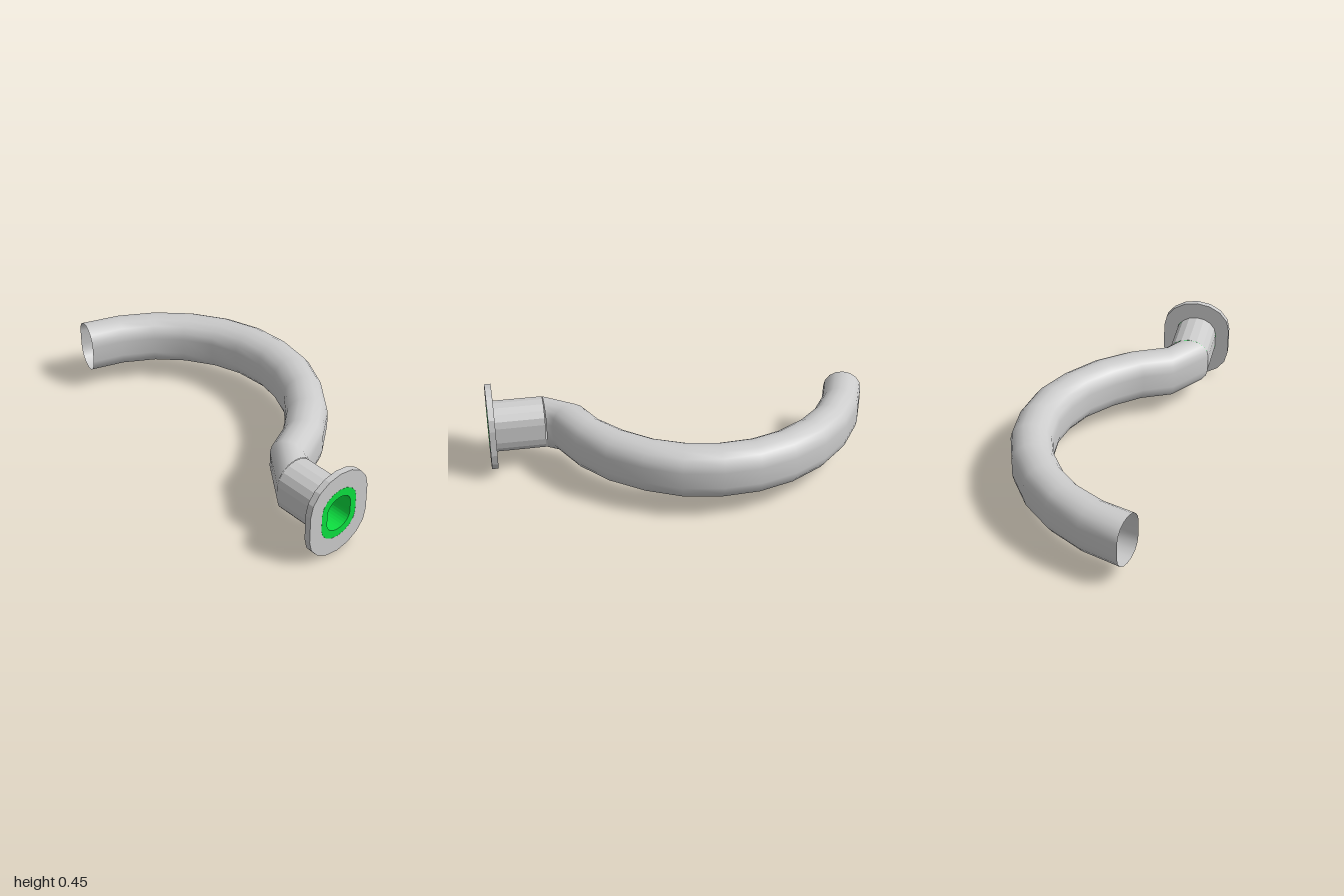
import * as THREE from 'three';

const CX = -0.28, CY = 0.225; // axis of the flange and collar

// Stretched-round outline: two half ellipses joined by straight sides
function outline(scale, seg = 8) {
  const pts = [];
  for (const half of [0, 1]) {
    for (let i = 0; i <= seg; i++) {
      const a = Math.PI * (half + i / seg);
      const shift = half ? -0.07 : 0.07;
      pts.push(new THREE.Vector2(0.184 * Math.cos(a) * scale, (0.155 * Math.sin(a) + shift) * scale));
    }
  }
  return pts;
}

// Solid ring between two outlines, from z0 to z1
function ring(name, outer, inner, z0, z1, material) {
  const shape = new THREE.Shape(outer);
  shape.holes.push(new THREE.Path(inner));
  const geo = new THREE.ExtrudeGeometry(shape, { depth: z1 - z0, bevelEnabled: false });
  const mesh = new THREE.Mesh(geo, material);
  mesh.name = name;
  mesh.position.set(CX, CY, z0);
  return mesh;
}

// Open skin through sections, each spanning from a left to a right edge point [xl, zl, xr, zr]
function loft(name, sections, material) {
  const prof = outline(0.6), n = prof.length, pos = [], idx = [];
  sections.forEach(([xl, zl, xr, zr], s) => {
    prof.forEach((p, j) => {
      const t = 0.5 + p.x / (2 * 0.184 * 0.6);
      pos.push(xl + (xr - xl) * t, CY + p.y, zl + (zr - zl) * t);
      if (s === 0) return;
      const k = (j + 1) % n, a = (s - 1) * n, b = s * n;
      idx.push(a + j, b + j, a + k, a + k, b + j, b + k);
    });
  });
  const geo = new THREE.BufferGeometry();
  geo.setAttribute('position', new THREE.Float32BufferAttribute(pos, 3));
  geo.setIndex(idx);
  geo.computeVertexNormals();
  const mesh = new THREE.Mesh(geo, material);
  mesh.name = name;
  return mesh;
}

export function createModel() {
  const group = new THREE.Group();
  group.name = 'curvedPipe';
  const grey = new THREE.MeshStandardMaterial({ color: 0xcccccc, side: THREE.DoubleSide });
  const greyFlat = new THREE.MeshStandardMaterial({ color: 0xcccccc, side: THREE.DoubleSide, flatShading: true });
  const green = new THREE.MeshStandardMaterial({ color: 0x0be040 });

  // Mounting flange and the green liner inside it
  group.add(ring('flange', outline(1), outline(0.6), 0.967, 1, greyFlat));
  group.add(ring('liner', outline(0.597), outline(0.407, 16), 0.71, 1, green));

  // Straight faceted collar behind the flange
  group.add(loft('collar', [[-0.39, 0.967, -0.17, 0.967], [-0.39, 0.71, -0.17, 0.71]], greyFlat));

  // Bent pipe, open at the far end
  group.add(loft('pipe', [
    [-0.39, 0.71, -0.17, 0.705],
    [-0.235, 0.495, -0.155, 0.675],
    [-0.085, 0.425, 0.04, 0.58],
    [0.04, 0.32, 0.205, 0.45],
    [0.15, 0.19, 0.335, 0.28],
    [0.215, 0.045, 0.425, 0.10],
    [0.245, -0.10, 0.46, -0.10],
    [0.235, -0.27, 0.45, -0.29],
    [0.19, -0.41, 0.39, -0.48],
    [0.105, -0.55, 0.28, -0.66],
    [-0.005, -0.665, 0.13, -0.81],
    [-0.15, -0.755, -0.05, -0.925],
    [-0.31, -0.81, -0.25, -1],
  ], grey));

  return group;
}
